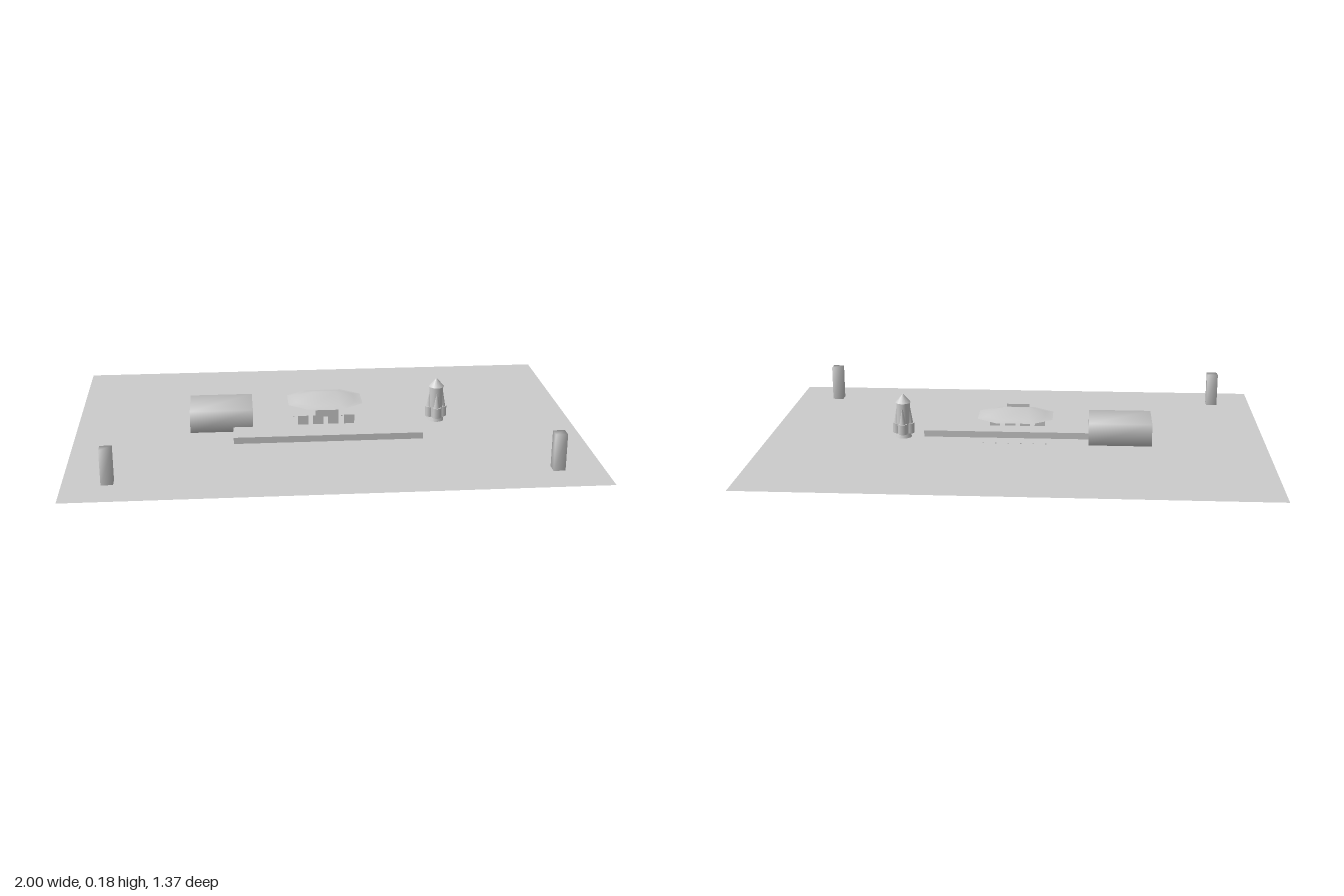
import * as THREE from 'three';
import { mergeVertices } from 'three/addons/utils/BufferGeometryUtils.js';

export function createModel() {
  const model = new THREE.Group();
  const grey = new THREE.MeshStandardMaterial({ color: 0xcccccc, side: THREE.DoubleSide });
  grey.name = 'pale grey';

  function add(name, geometry, x = 0, y = 0, z = 0, parent = model) {
    const mesh = new THREE.Mesh(geometry, grey);
    mesh.name = name;
    mesh.position.set(x, y, z);
    parent.add(mesh);
    return mesh;
  }

  // Box with corner normals shared between its faces
  function softBox(w, h, d) {
    const g = new THREE.BoxGeometry(w, h, d);
    g.deleteAttribute('normal');
    g.deleteAttribute('uv');
    const merged = mergeVertices(g);
    merged.computeVertexNormals();
    return merged;
  }

  // Ground sheet
  add('ground', new THREE.PlaneGeometry(2, 1.374).rotateX(-Math.PI / 2), 0, 0.003, 0);

  // Low platform and the hall beside it
  add('platform', new THREE.BoxGeometry(0.746, 0.026, 0.206), -0.001, 0.016, 0.083);
  add('hall', softBox(0.25, 0.09, 0.19), -0.42, 0.055, -0.022);

  // Gate posts
  add('rightPost', softBox(0.045, 0.139, 0.045), -0.835, 0.0695, 0.521);
  add('leftPost', softBox(0.045, 0.147, 0.045), 0.828, 0.0735, 0.521);

  // Eight-sided hipped roof: flat brim, rising to a short ridge
  const octagon = (a, b, y) => [
    [a, b / 2], [a, -b / 2], [a / 2, -b], [-a / 2, -b],
    [-a, -b / 2], [-a, b / 2], [-a / 2, b], [a / 2, b],
  ].map(([x, z]) => [x, y, z]);
  const ridge = octagon(0.046, 0, 0.135).map(([x, y]) => [Math.sign(x) * 0.046, y, 0]);
  const rings = [octagon(0.149, 0.115, 0.102), octagon(0.118, 0.091, 0.107), ridge];
  const index = [];
  for (let r = 0; r < 2; r++) {
    for (let i = 0; i < 8; i++) {
      const j = (i + 1) % 8, a = r * 8 + i, b = r * 8 + j;
      index.push(a, b, b + 8, a, b + 8, a + 8);
    }
  }
  let roof = new THREE.BufferGeometry();
  roof.setAttribute('position', new THREE.Float32BufferAttribute(rings.flat(2), 3));
  roof.setIndex(index);
  roof = mergeVertices(roof);
  roof.computeVertexNormals();
  add('roof', roof, -0.002, 0, -0.024);

  // Sign board under the front of the brim
  add('signBoard', new THREE.PlaneGeometry(0.093, 0.027), -0.003, 0.094, 0.115);

  // Window panels
  for (const x of [-0.095, -0.034, 0.027, 0.09]) {
    add('windowPanel', new THREE.PlaneGeometry(0.042, 0.04), x, 0.046, 0.064);
  }

  // Small pegs behind the building
  for (let i = 0; i < 6; i++) {
    add('peg', new THREE.BoxGeometry(0.006, 0.004, 0.006), -0.125 + i * 0.05, 0.004, -0.09);
  }

  // Rocket: core with nose cone and four strapped-on boosters
  const rocket = new THREE.Group();
  rocket.name = 'rocket';
  rocket.position.set(0.455, 0, -0.021);
  model.add(rocket);
  add('rocketBody', new THREE.CylinderGeometry(0.028, 0.028, 0.148, 12), 0, 0.074, 0, rocket);
  add('noseCone', new THREE.ConeGeometry(0.031, 0.036, 12), 0, 0.165, 0, rocket);
  add('engineSkirt', new THREE.CylinderGeometry(0.028, 0.034, 0.02, 12), 0, 0.01, 0, rocket);
  for (let i = 0; i < 4; i++) {
    const a = i * Math.PI / 2, x = 0.026 * Math.cos(a), z = 0.026 * Math.sin(a);
    add('booster', new THREE.CylinderGeometry(0.018, 0.018, 0.042, 8), x, 0.041, z, rocket);
    add('boosterNose', new THREE.ConeGeometry(0.013, 0.075, 8), x, 0.0995, z, rocket);
  }

  return model;
}
